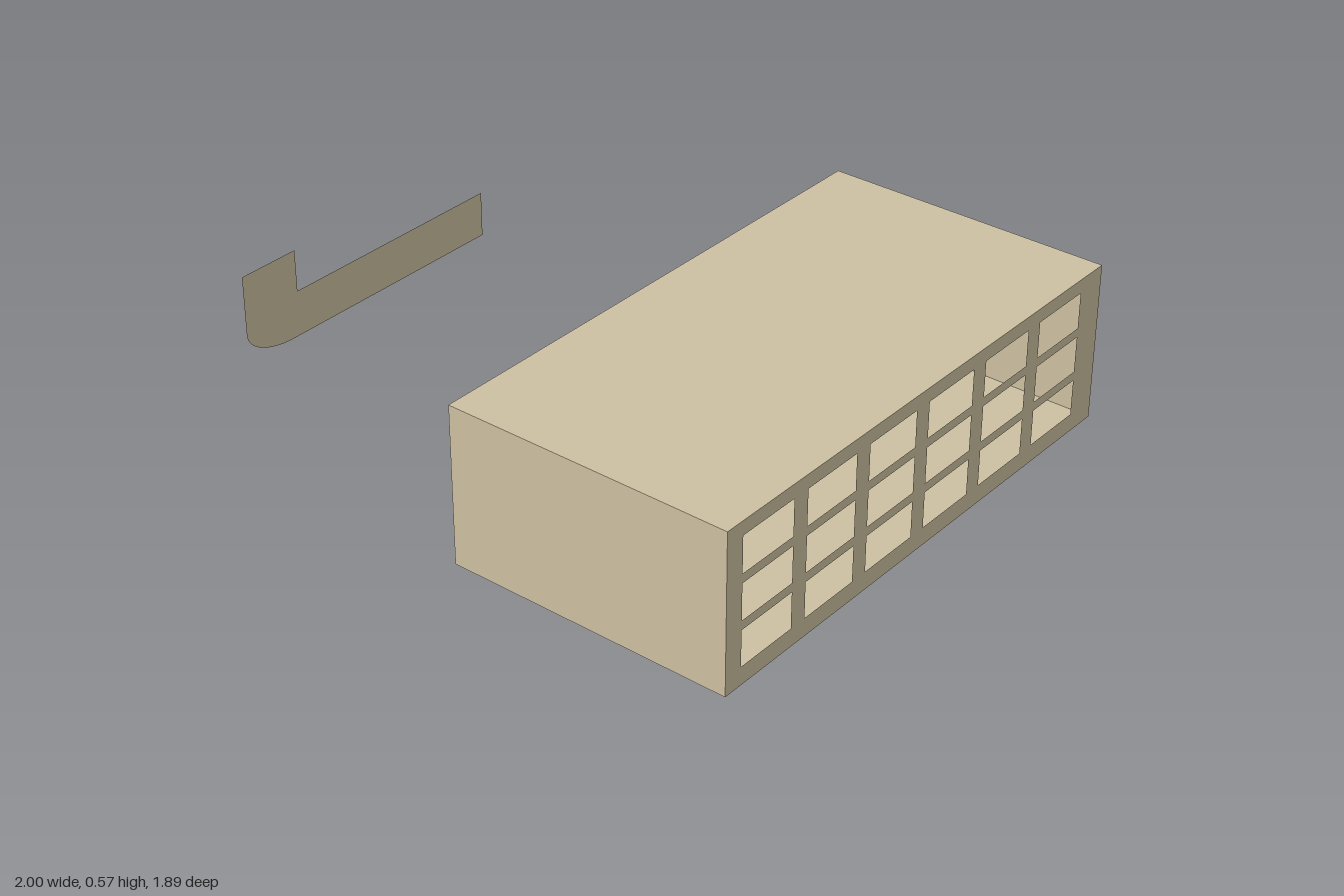
import * as THREE from 'three';

const X0 = -0.015, X1 = 1, H = 0.555, Z = 0.945;

const material = new THREE.MeshStandardMaterial({ color: 0xcdc0a2, side: THREE.DoubleSide });

// Rectangle outline, works for shapes and holes
function rect(path, a0, b0, a1, b1) {
  path.moveTo(a0, b0);
  path.lineTo(a1, b0);
  path.lineTo(a1, b1);
  path.lineTo(a0, b1);
  path.closePath();
  return path;
}

// Flat sheet drawn in (z, y) and stood upright at a given x
function sideSheet(name, shape, x) {
  const geometry = new THREE.ShapeGeometry(shape, 16);
  geometry.rotateY(-Math.PI / 2);
  const mesh = new THREE.Mesh(geometry, material);
  mesh.name = name;
  mesh.position.x = x;
  return mesh;
}

// Plain rectangular sheet
function panel(name, w, h, position, rx, ry) {
  const mesh = new THREE.Mesh(new THREE.PlaneGeometry(w, h), material);
  mesh.name = name;
  mesh.position.set(...position);
  mesh.rotation.set(rx, ry, 0);
  return mesh;
}

export function createModel() {
  const model = new THREE.Group();
  model.name = 'buildingShell';

  // Hollow room: floor, roof and end walls
  const room = new THREE.Group();
  room.name = 'room';
  const w = X1 - X0, cx = (X0 + X1) / 2;
  room.add(
    panel('floor', w, 2 * Z, [cx, 0, 0], Math.PI / 2, 0),
    panel('roof', w, 2 * Z, [cx, H, 0], -Math.PI / 2, 0),
    panel('frontWall', w, H, [cx, H / 2, Z], 0, 0),
    panel('backWall', w, H, [cx, H / 2, -Z], 0, Math.PI)
  );

  // Window wall: six columns by three rows of openings
  const windowWall = rect(new THREE.Shape(), -Z, 0, Z, H);
  for (let col = 0; col < 6; col++) {
    for (let row = 0; row < 3; row++) {
      const z = 0.645 - col * 0.2945, y = 0.064 + row * 0.158;
      windowWall.holes.push(rect(new THREE.Path(), z, y, z + 0.23, y + 0.126));
    }
  }
  room.add(sideSheet('windowWall', windowWall, X1));

  // Opposite wall with a single doorway opening
  const doorWall = rect(new THREE.Shape(), -Z, 0, Z, H);
  doorWall.holes.push(rect(new THREE.Path(), -0.535, 0.26, -0.265, 0.42));
  room.add(sideSheet('doorWall', doorWall, X0));
  model.add(room);

  // Separate L-shaped strip with a rounded outer bend
  const strip = new THREE.Shape();
  strip.moveTo(-0.27, 0.26);
  strip.lineTo(0.62, 0.26);
  strip.absellipse(0.62, 0.36, 0.195, 0.1, -Math.PI / 2, 0, false);
  strip.lineTo(0.815, 0.567);
  strip.lineTo(0.59, 0.567);
  strip.lineTo(0.59, 0.42);
  strip.lineTo(-0.27, 0.42);
  strip.closePath();
  model.add(sideSheet('bentStrip', strip, -1));

  return model;
}
